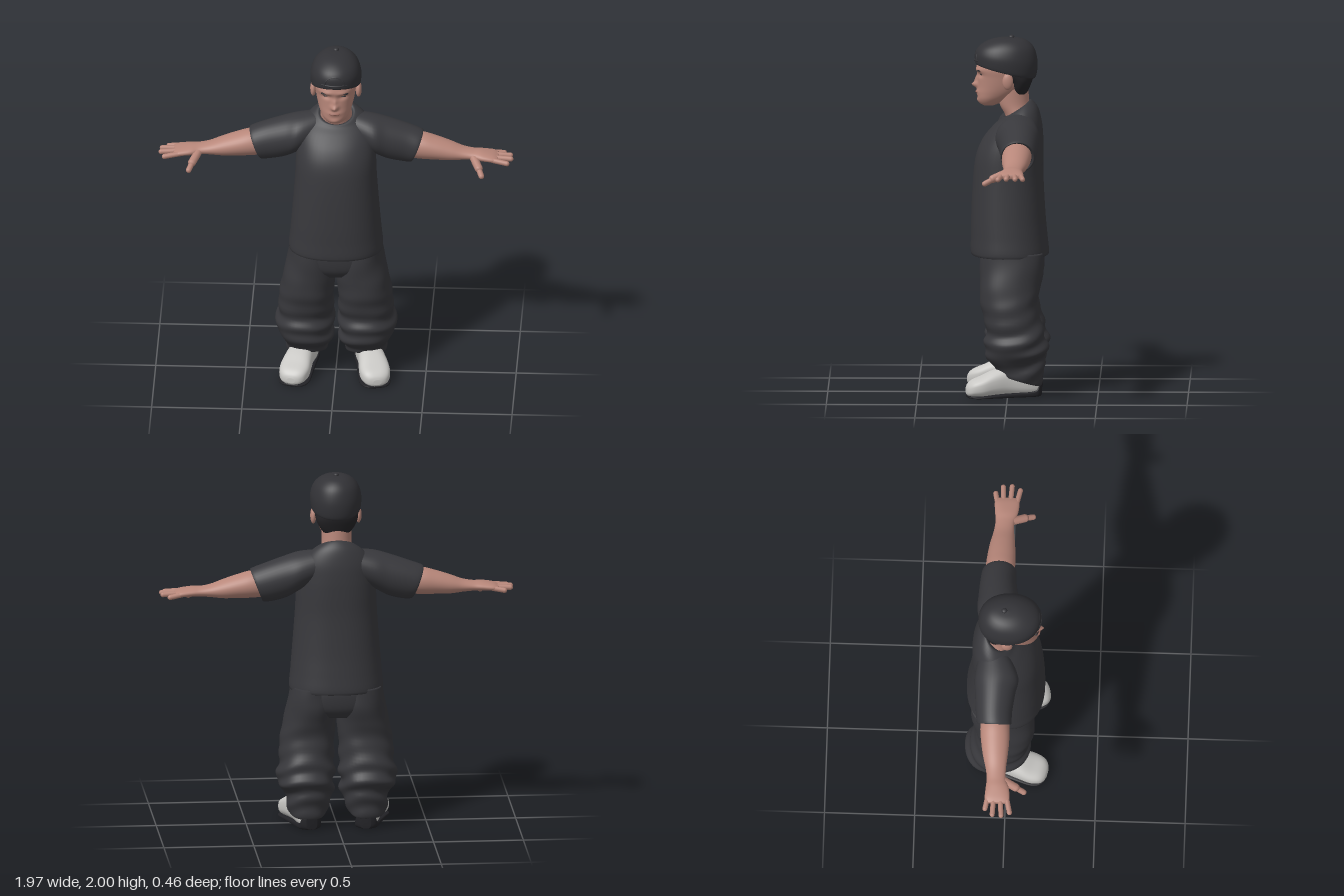
import * as THREE from 'three';
import { mergeGeometries } from 'three/addons/utils/BufferGeometryUtils.js';

const paint = (name, color) => {
  const m = new THREE.MeshStandardMaterial({ color });
  m.name = name;
  return m;
};

// Smooth loft through sections [station, centre, radius, zFront, zBack, roundness, tilt].
// axis 'y' stacks rings upward, axis 'x' stacks them sideways.
function loft(axis, sections, { n = 36, sub = 5, deform } = {}) {
  const secs = sections.map(s => [s[0], s[1], s[2], s[3], s[4], s[5] ?? 1, s[6] ?? 0]);
  const rings = [];
  for (let i = 0; i < secs.length - 1; i++) {
    const a = secs[Math.max(i - 1, 0)], b = secs[i], c = secs[i + 1], d = secs[Math.min(i + 2, secs.length - 1)];
    for (let k = 0; k < sub; k++) {
      const u = k / sub;
      rings.push(b.map((v, j) => {
        const quad = 2 * a[j] - 5 * v + 4 * c[j] - d[j];
        const cubic = 3 * (v - c[j]) + d[j] - a[j];
        return v + 0.5 * u * (c[j] - a[j] + u * (quad + u * cubic));
      }));
    }
  }
  rings.push(secs[secs.length - 1]);
  const pos = [], idx = [];
  const pw = (v, p) => Math.sign(v) * Math.abs(v) ** p;
  for (const [t, c, r, hi, lo, p, tilt] of rings) {
    const mid = (hi + lo) / 2, half = (hi - lo) / 2;
    for (let j = 0; j < n; j++) {
      const th = j / n * Math.PI * 2, co = pw(Math.cos(th), p), si = pw(Math.sin(th), p);
      const v = axis === 'y'
        ? new THREE.Vector3(c + r * co, t + tilt * si, mid + half * si)
        : new THREE.Vector3(t + tilt * si, c + r * si, mid + half * co);
      if (deform) deform(v, th, c, mid);
      pos.push(v.x, v.y, v.z);
    }
  }
  for (let i = 0; i < rings.length - 1; i++) {
    for (let j = 0; j < n; j++) {
      const a = i * n + j, b = i * n + (j + 1) % n;
      idx.push(a, a + n, b, b, a + n, b + n);
    }
  }
  // end caps
  [[0, true], [rings.length - 1, false]].forEach(([i, first]) => {
    const m = [0, 0, 0];
    for (let j = 0; j < n; j++) for (let k = 0; k < 3; k++) m[k] += pos[(i * n + j) * 3 + k] / n;
    const centre = pos.length / 3;
    pos.push(...m);
    for (let j = 0; j < n; j++) {
      const a = i * n + j, b = i * n + (j + 1) % n;
      if (first) idx.push(centre, a, b); else idx.push(centre, b, a);
    }
  });
  const g = new THREE.BufferGeometry();
  g.setAttribute('position', new THREE.Float32BufferAttribute(pos, 3));
  g.setIndex(idx);
  g.computeVertexNormals();
  return g;
}

function mirrored(geo) {
  const g = geo.clone().scale(-1, 1, 1), ix = g.index.array;
  for (let i = 0; i < ix.length; i += 3) [ix[i], ix[i + 1]] = [ix[i + 1], ix[i]];
  return g;
}

function capsule(a, b, r) {
  const A = new THREE.Vector3(...a), B = new THREE.Vector3(...b), d = B.clone().sub(A);
  const g = new THREE.CapsuleGeometry(r, d.length(), 5, 10);
  g.applyQuaternion(new THREE.Quaternion().setFromUnitVectors(new THREE.Vector3(0, 1, 0), d.normalize()));
  const m = A.add(B).multiplyScalar(0.5);
  return g.translate(m.x, m.y, m.z);
}

const blob = (x, y, z, sx, sy, sz) => new THREE.SphereGeometry(1, 20, 14).scale(sx, sy, sz).translate(x, y, z);

export function createModel() {
  const root = new THREE.Group();
  const shirt = paint('shirt charcoal', 0x38383c), trouser = paint('trouser charcoal', 0x37373b);
  const capMat = paint('cap charcoal', 0x323236), skin = paint('skin', 0xb8877a), lip = paint('lip', 0x9c6b60);
  const hairMat = paint('hair black', 0x242326), white = paint('shoe white', 0xc9c8c5), soleMat = paint('sole black', 0x222226);
  const add = (name, geo, mat) => {
    const m = new THREE.Mesh(geo, mat);
    m.name = name;
    root.add(m);
  };
  const pair = (name, geo, mat) => {
    add(name + 'Left', geo, mat);
    add(name + 'Right', mirrored(geo), mat);
  };

  // T-shirt
  add('shirtBody', loft('y', [
    [0.80, 0, 0.225, 0.165, -0.19, 0.85], [0.78, 0, 0.26, 0.205, -0.225, 0.85],
    [0.88, 0, 0.253, 0.207, -0.218, 0.85], [1.0, 0, 0.243, 0.205, -0.207, 0.85],
    [1.2, 0, 0.228, 0.195, -0.196, 0.85], [1.33, 0, 0.222, 0.178, -0.196, 0.85],
    [1.42, 0, 0.215, 0.14, -0.195, 0.88], [1.50, 0, 0.20, 0.085, -0.187, 0.92, -0.012],
    [1.56, 0, 0.155, 0.045, -0.165, 1, -0.035], [1.59, 0, 0.105, 0.03, -0.128, 1, -0.048],
    [1.58, 0, 0.085, 0.01, -0.11, 1, -0.045]], { n: 48 }), shirt);
  pair('sleeve', loft('x', [
    [0.08, 1.50, 0.08, 0.01, -0.155], [0.20, 1.46, 0.105, 0.065, -0.175], [0.28, 1.428, 0.117, 0.052, -0.172],
    [0.38, 1.398, 0.108, 0.037, -0.165, 1, 0.015], [0.445, 1.381, 0.092, 0.035, -0.156, 1, 0.033],
    [0.44, 1.381, 0.076, 0.022, -0.14, 1, 0.03]]), shirt);

  // Baggy trousers with folds gathering near the ankles
  add('trouserSeat', loft('y', [
    [0.63, 0, 0.20, 0.11, -0.15], [0.68, 0, 0.25, 0.145, -0.19, 0.85], [0.76, 0, 0.255, 0.157, -0.2, 0.85],
    [0.83, 0, 0.22, 0.15, -0.19, 0.85]]), trouser);
  pair('trouserLeg', loft('y', [
    [0.12, 0.165, 0.085, 0.02, -0.16, 0.9, 0.03], [0.095, 0.165, 0.105, 0.05, -0.185, 0.9, 0.035],
    [0.14, 0.163, 0.12, 0.075, -0.198, 0.9, 0.02], [0.20, 0.156, 0.138, 0.105, -0.205, 0.9],
    [0.25, 0.174, 0.157, 0.13, -0.222, 0.9], [0.30, 0.172, 0.16, 0.127, -0.222, 0.9],
    [0.37, 0.168, 0.153, 0.12, -0.2, 0.9], [0.5, 0.161, 0.15, 0.148, -0.168, 0.9],
    [0.6, 0.148, 0.145, 0.155, -0.178, 0.9], [0.7, 0.138, 0.132, 0.155, -0.2, 0.9],
    [0.8, 0.13, 0.125, 0.15, -0.195, 0.9]], {
    n: 48, sub: 7,
    deform(v, th, cx, cz) {
      const w = Math.exp(-(((v.y - 0.25) / 0.2) ** 2));
      const k = 1 + 0.05 * w * Math.sin(v.y * 62 + 2.2 * Math.sin(th) + 1.3 * Math.cos(2 * th)) + 0.012 * Math.sin(v.y * 30 + 3 * th);
      v.x = Math.max(cx + (v.x - cx) * k, 0.004);
      v.z = cz + (v.z - cz) * k;
    }
  }), trouser);

  // Shoes, built heel to toe and turned slightly outward
  const shoe = sections => loft('x', sections.map(([l, bottom, top, w, p]) =>
    [l, (top + bottom) / 2, (top - bottom) / 2, w, -w, p]))
    .rotateY(-Math.PI / 2 + 0.22).translate(0.19, 0, 0);
  pair('shoe', shoe([
    [-0.18, 0.02, 0.08, 0.03, 0.7], [-0.165, 0.012, 0.11, 0.053, 0.7], [-0.1, 0.01, 0.135, 0.066, 0.7],
    [0.0, 0.01, 0.165, 0.07, 0.75], [0.08, 0.01, 0.15, 0.08, 0.75], [0.15, 0.008, 0.118, 0.085, 0.7],
    [0.2, 0.01, 0.097, 0.073, 0.7], [0.225, 0.014, 0.075, 0.05, 0.75], [0.234, 0.025, 0.055, 0.022, 0.9]]), white);
  pair('sole', shoe([
    [-0.188, 0.004, 0.085, 0.03, 0.6], [-0.172, 0, 0.085, 0.055, 0.6], [-0.145, 0, 0.04, 0.064, 0.5],
    [-0.05, 0, 0.03, 0.07, 0.5], [0.06, 0, 0.024, 0.08, 0.5], [0.15, 0, 0.015, 0.086, 0.5],
    [0.2, 0, 0.014, 0.073, 0.5], [0.226, 0.002, 0.014, 0.045, 0.6]]), soleMat);

  // Arms and hands
  pair('arm', loft('x', [
    [0.36, 1.39, 0.072, 0.012, -0.132], [0.47, 1.385, 0.076, 0.025, -0.137], [0.55, 1.374, 0.066, 0.026, -0.13],
    [0.63, 1.36, 0.053, 0.02, -0.117], [0.70, 1.35, 0.036, 0.013, -0.1], [0.76, 1.346, 0.028, 0.014, -0.092],
    [0.81, 1.344, 0.027, 0.032, -0.096], [0.87, 1.339, 0.02, 0.038, -0.1, 0.85], [0.9, 1.336, 0.011, 0.03, -0.09, 0.85]]), skin);
  const fingers = [[-0.082, 0.93, -0.096, 1.327], [-0.05, 0.966, -0.055, 1.333], [-0.014, 0.97, -0.006, 1.334], [0.02, 0.95, 0.04, 1.328]]
    .map(([z0, x, z1, y]) => capsule([0.86, 1.338, z0], [x, y, z1], 0.0145));
  pair('hand', mergeGeometries([...fingers,
    capsule([0.765, 1.338, 0.0], [0.795, 1.31, 0.07], 0.023),
    capsule([0.795, 1.308, 0.07], [0.812, 1.285, 0.115], 0.016)]), skin);

  // Neck and head with sculpted face
  add('neck', loft('y', [
    [1.50, 0, 0.1, 0.0, -0.13], [1.56, 0, 0.092, 0.02, -0.128], [1.62, 0, 0.083, 0.05, -0.118], [1.72, 0, 0.085, 0.06, -0.11]]), skin);
  const bump = (v, x, y, sx, sy) => Math.exp(-(((v.x - x) / sx) ** 2) - (((v.y - y) / sy) ** 2));
  add('head', loft('y', [
    [1.606, 0, 0.025, 0.135, 0.08], [1.618, 0, 0.05, 0.156, 0.05], [1.645, 0, 0.073, 0.168, 0.0, 0.92],
    [1.68, 0, 0.09, 0.171, -0.06, 0.92], [1.72, 0, 0.102, 0.169, -0.1, 0.92], [1.77, 0, 0.111, 0.169, -0.122, 0.9],
    [1.82, 0, 0.117, 0.176, -0.132, 0.9], [1.88, 0, 0.11, 0.16, -0.13]], {
    n: 72, sub: 8,
    deform(v) {
      if (v.z < 0.08) return;
      v.z += 0.03 * bump(v, 0, 1.722, 0.017, 0.016) + 0.016 * bump(v, 0, 1.752, 0.012, 0.025)
        + 0.008 * bump(v, 0, 1.683, 0.032, 0.014) + 0.007 * bump(v, 0, 1.635, 0.03, 0.015)
        + 0.007 * (bump(v, 0.048, 1.81, 0.035, 0.012) + bump(v, -0.048, 1.81, 0.035, 0.012))
        - 0.013 * (bump(v, 0.046, 1.783, 0.026, 0.014) + bump(v, -0.046, 1.783, 0.026, 0.014));
    }
  }), skin);
  pair('ear', blob(0.126, 1.755, 0.0, 0.017, 0.046, 0.03), skin);
  pair('brow', blob(0.05, 1.806, 0.159, 0.027, 0.005, 0.013), hairMat);
  pair('eye', blob(0.047, 1.785, 0.146, 0.017, 0.005, 0.009), hairMat);
  add('lips', blob(0, 1.683, 0.172, 0.03, 0.008, 0.01), lip);

  // Short hair below the cap
  add('hair', loft('y', [
    [1.675, 0, 0.075, -0.02, -0.105], [1.71, 0, 0.1, -0.01, -0.12], [1.75, 0, 0.116, 0.01, -0.135],
    [1.79, 0, 0.122, 0.07, -0.142], [1.84, 0, 0.122, 0.1, -0.142]]), hairMat);

  // Cap worn backwards
  add('cap', loft('y', [
    [1.815, 0, 0.115, 0.16, -0.125, 1, 0.035], [1.80, 0, 0.134, 0.18, -0.147, 0.95, 0.04],
    [1.83, 0, 0.141, 0.186, -0.16, 0.95, 0.033], [1.88, 0, 0.14, 0.184, -0.162, 0.95, 0.02],
    [1.93, 0, 0.122, 0.163, -0.145, 0.95, 0.005], [1.965, 0, 0.09, 0.12, -0.11], [1.983, 0, 0.05, 0.065, -0.065],
    [1.988, 0, 0.006, 0.006, -0.006]], { n: 48 }), capMat);
  add('capButton', blob(0, 1.988, -0.018, 0.016, 0.012, 0.016), capMat);
  const onCap = (x, y) => new THREE.Vector3(x, y, 0.012 + 0.174 * Math.sqrt(1 - (x / 0.14) ** 2) - 0.4 * Math.max(0, y - 1.885));
  const arch = [], strap = [];
  for (let i = 0; i <= 12; i++) {
    const a = i / 12 * Math.PI;
    arch.push(onCap(0.055 * Math.cos(a), 1.862 + 0.05 * Math.sin(a)));
    strap.push(onCap(-0.07 + i * 0.14 / 12, 1.862));
  }
  for (const [name, pts] of [['capOpeningEdge', arch], ['capStrap', strap]])
    add(name, new THREE.TubeGeometry(new THREE.CatmullRomCurve3(pts), 30, 0.005, 8), capMat);

  return root;
}
